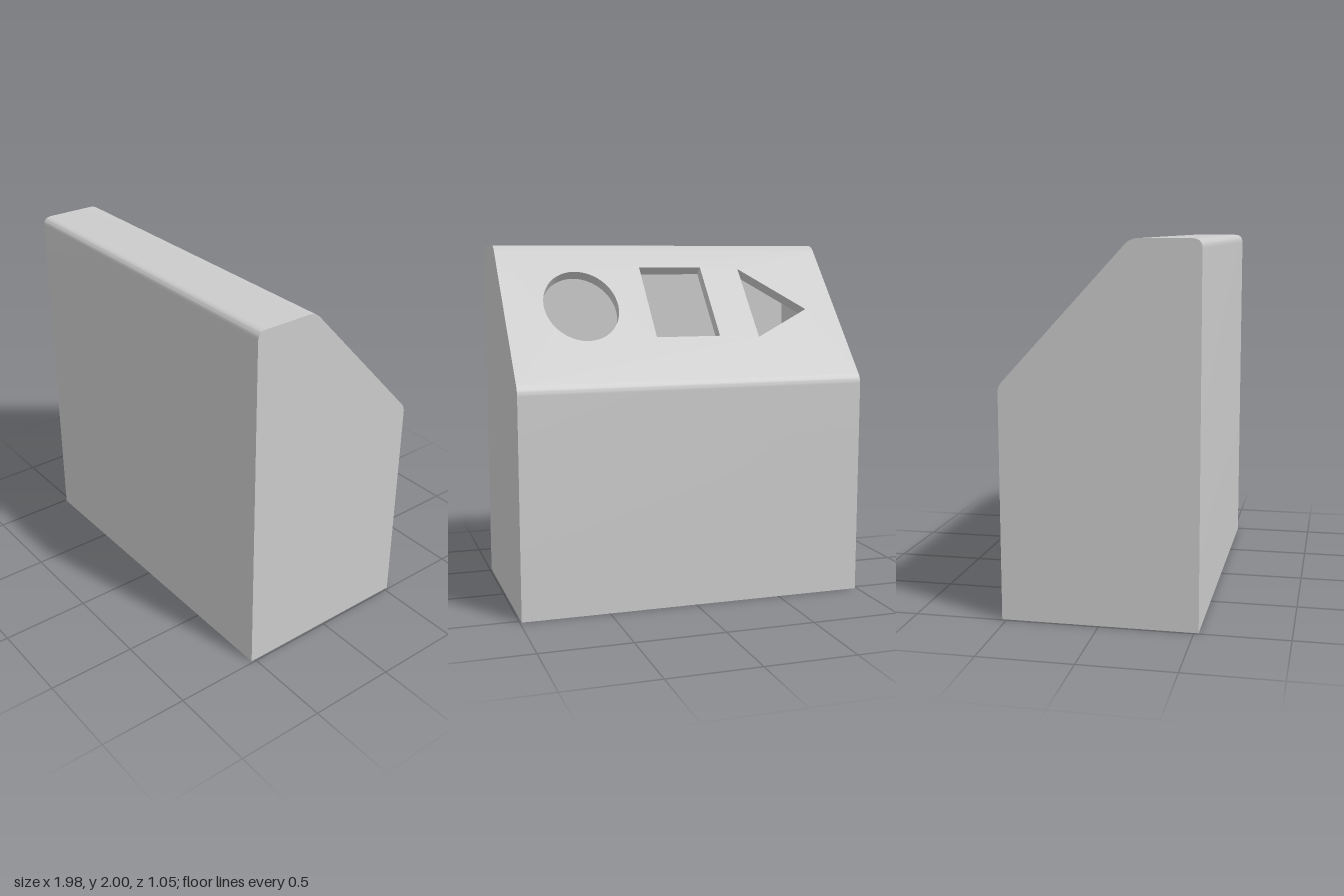
import * as THREE from 'three';
import { toCreasedNormals } from 'three/addons/utils/BufferGeometryUtils.js';

const HALF = 0.99;   // half width in x
const WALL = 0.06;   // wall thickness
// Slope panel: lower and upper ends as (z, y)
const LOW = new THREE.Vector2(-0.504, 1.27);
const HIGH = new THREE.Vector2(0.138, 1.968);
const DIR = HIGH.clone().sub(LOW).normalize();
const LENGTH = HIGH.distanceTo(LOW);

// Sheet running the full width along a (z, y) path
function sheet(points, half) {
  const geo = new THREE.PlaneGeometry(2 * half, 1, 1, points.length - 1);
  const pos = geo.attributes.position;
  for (let i = 0; i < pos.count; i++) {
    const p = points[Math.floor(i / 2)];
    pos.setXYZ(i, pos.getX(i), p.y, p.x);
  }
  return toCreasedNormals(geo, 0.5);
}

// Flat end face from a (z, y) outline
function endFace(points, x) {
  return new THREE.ShapeGeometry(new THREE.Shape(points)).rotateY(-Math.PI / 2).translate(x, 0, 0);
}

// Point on the slope panel, given x and z in the model
const onSlope = (x, z) => new THREE.Vector2(-x, (z - LOW.x) / DIR.x);

export function createModel() {
  const group = new THREE.Group();
  const material = new THREE.MeshStandardMaterial({ color: 0xcccccc, side: THREE.DoubleSide });
  const add = (name, geo) => {
    const mesh = new THREE.Mesh(geo, material);
    mesh.name = name;
    group.add(mesh);
    return mesh;
  };

  // Outer profile with rounded upper edges, open along the slope
  const profile = new THREE.Path();
  profile.moveTo(LOW.x, LOW.y);
  profile.quadraticCurveTo(-0.525, 1.247, -0.525, 1.216);
  profile.lineTo(-0.525, 0);
  profile.lineTo(0.525, 0);
  profile.lineTo(0.525, 1.95);
  profile.quadraticCurveTo(0.525, 2, 0.475, 2);
  profile.lineTo(0.21, 2);
  profile.quadraticCurveTo(0.167, 2, HIGH.x, HIGH.y);
  const outer = profile.getPoints(8);

  // Inner profile, one wall thickness inside
  const inset = new THREE.Vector2(DIR.y, -DIR.x).multiplyScalar(WALL);
  const inner = [
    LOW.clone().add(inset),
    ...[[-0.465, 1.224], [-0.465, WALL], [0.465, WALL], [0.465, 1.94], [0.194, 1.94]]
      .map(([z, y]) => new THREE.Vector2(z, y)),
    HIGH.clone().add(inset),
  ];

  add('outerShell', sheet([...outer].reverse(), HALF));
  add('innerShell', sheet(inner, HALF - WALL));
  for (const [side, name] of [[-1, 'right'], [1, 'left']]) {
    add(name + 'OuterWall', endFace(outer, side * HALF));
    add(name + 'InnerWall', endFace(inner, side * (HALF - WALL)));
  }

  // Slope panel with triangle, square and round openings
  const panel = new THREE.Shape([
    new THREE.Vector2(-HALF, 0), new THREE.Vector2(HALF, 0),
    new THREE.Vector2(HALF, LENGTH), new THREE.Vector2(-HALF, LENGTH),
  ]);
  const triangle = [[-0.8, -0.175], [-0.45, -0.31], [-0.45, 0.04]];
  const square = [[-0.215, -0.3], [0.16, -0.3], [0.16, 0.05], [-0.215, 0.05]];
  for (const corners of [triangle, square]) {
    panel.holes.push(new THREE.Path(corners.map(([x, z]) => onSlope(x, z))));
  }
  const centre = onSlope(0.552, -0.14);
  panel.holes.push(new THREE.Path().absellipse(centre.x, centre.y, 0.213, 0.17 / DIR.x, 0, Math.PI * 2, true));
  const panelGeo = new THREE.ExtrudeGeometry(panel, { depth: WALL, bevelEnabled: false, curveSegments: 24 });
  const frame = new THREE.Matrix4().makeBasis(
    new THREE.Vector3(-1, 0, 0),
    new THREE.Vector3(0, DIR.y, DIR.x),
    new THREE.Vector3(0, DIR.x, -DIR.y),
  ).setPosition(0, LOW.y + inset.y, LOW.x + inset.x);
  add('slopePanel', toCreasedNormals(panelGeo.applyMatrix4(frame), 0.5));

  return group;
}
